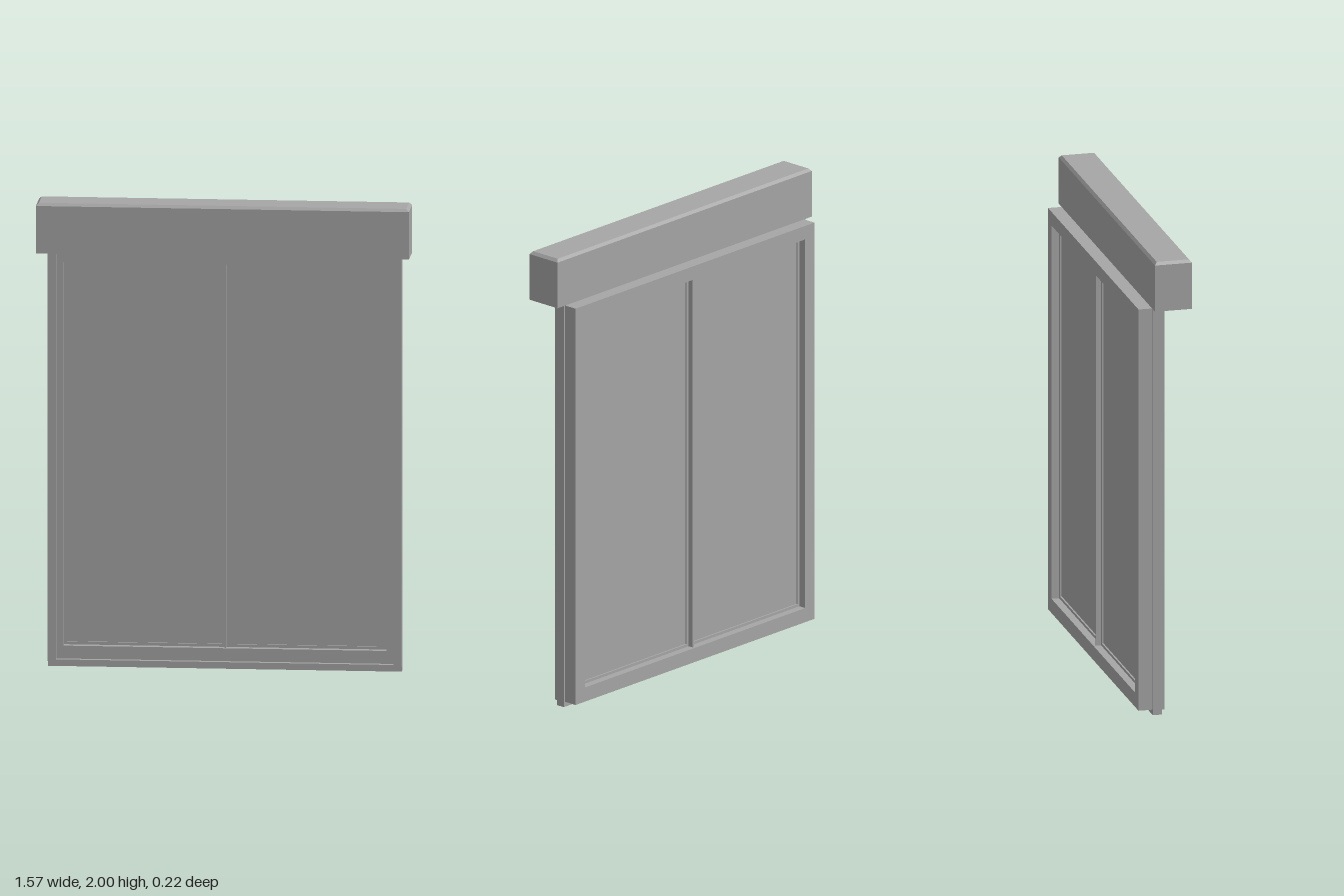
import * as THREE from 'three';

const grey = new THREE.MeshStandardMaterial({ color: 0xa6a6a6 });
grey.name = 'grey';

export function createModel() {
  const group = new THREE.Group();

  const add = (name, geometry) => {
    const mesh = new THREE.Mesh(geometry, grey);
    mesh.name = name;
    group.add(mesh);
    return mesh;
  };

  // Box given by its limits on each axis
  const block = (name, x0, x1, y0, y1, z0, z1) => {
    const g = new THREE.BoxGeometry(x1 - x0, y1 - y0, z1 - z0);
    g.translate((x0 + x1) / 2, (y0 + y1) / 2, (z0 + z1) / 2);
    return add(name, g);
  };

  // Rectangular ring: outer and inner are [x0, x1, y0, y1]
  const trace = (path, [x0, x1, y0, y1]) => {
    path.moveTo(x0, y0);
    path.lineTo(x1, y0);
    path.lineTo(x1, y1);
    path.lineTo(x0, y1);
    path.closePath();
    return path;
  };
  const ring = (name, outer, inner, z0, z1) => {
    const shape = trace(new THREE.Shape(), outer);
    shape.holes.push(trace(new THREE.Path(), inner));
    const g = new THREE.ExtrudeGeometry(shape, { depth: z1 - z0, bevelEnabled: false });
    g.translate(0, 0, z0);
    return add(name, g);
  };

  // Stepped window frame: front lip, middle rebate, rear frame
  const opening = [-0.68, 0.68, 0.085, 1.725];
  ring('frontLip', [-0.745, 0.745, 0.022, 1.785], [-0.71, 0.71, 0.03, 1.765], -0.022, 0);
  ring('middleFrame', [-0.745, 0.745, 0.022, 1.785], opening, -0.05, -0.022);
  ring('rearFrame', [-0.737, 0.737, 0.022, 1.785], opening, -0.11, -0.05);

  // Sill strip under the frame
  block('sill', -0.745, 0.745, 0, 0.022, -0.05, -0.01);

  // Two panes with slim beads, parted by a narrow mullion
  block('mullion', -0.004, 0.004, 0.085, 1.725, -0.1, -0.03);
  for (const [side, x0, x1] of [['right', -0.68, -0.004], ['left', 0.004, 0.68]]) {
    block(side + 'Pane', x0, x1, 0.085, 1.725, -0.07, -0.06);
    ring(side + 'Bead', [x0, x1, 0.085, 1.725],
      [x0 + 0.012, x1 - 0.012, 0.097, 1.713], -0.077, -0.053);
  }

  // Shutter box with a chamfered top
  let box = new THREE.BoxGeometry(1.57, 0.215, 0.16, 1, 2, 1);
  const p = box.attributes.position;
  for (let i = 0; i < p.count; i++) {
    const y = p.getY(i);
    if (Math.abs(y) < 0.01) p.setY(i, 0.0955);
    if (y > 0.1) {
      p.setX(i, p.getX(i) - Math.sign(p.getX(i)) * 0.012);
      p.setZ(i, p.getZ(i) - Math.sign(p.getZ(i)) * 0.01);
    }
  }
  box = box.toNonIndexed();
  box.computeVertexNormals();
  box.translate(0, 1.8925, 0.029);
  add('shutterBox', box);

  return group;
}
